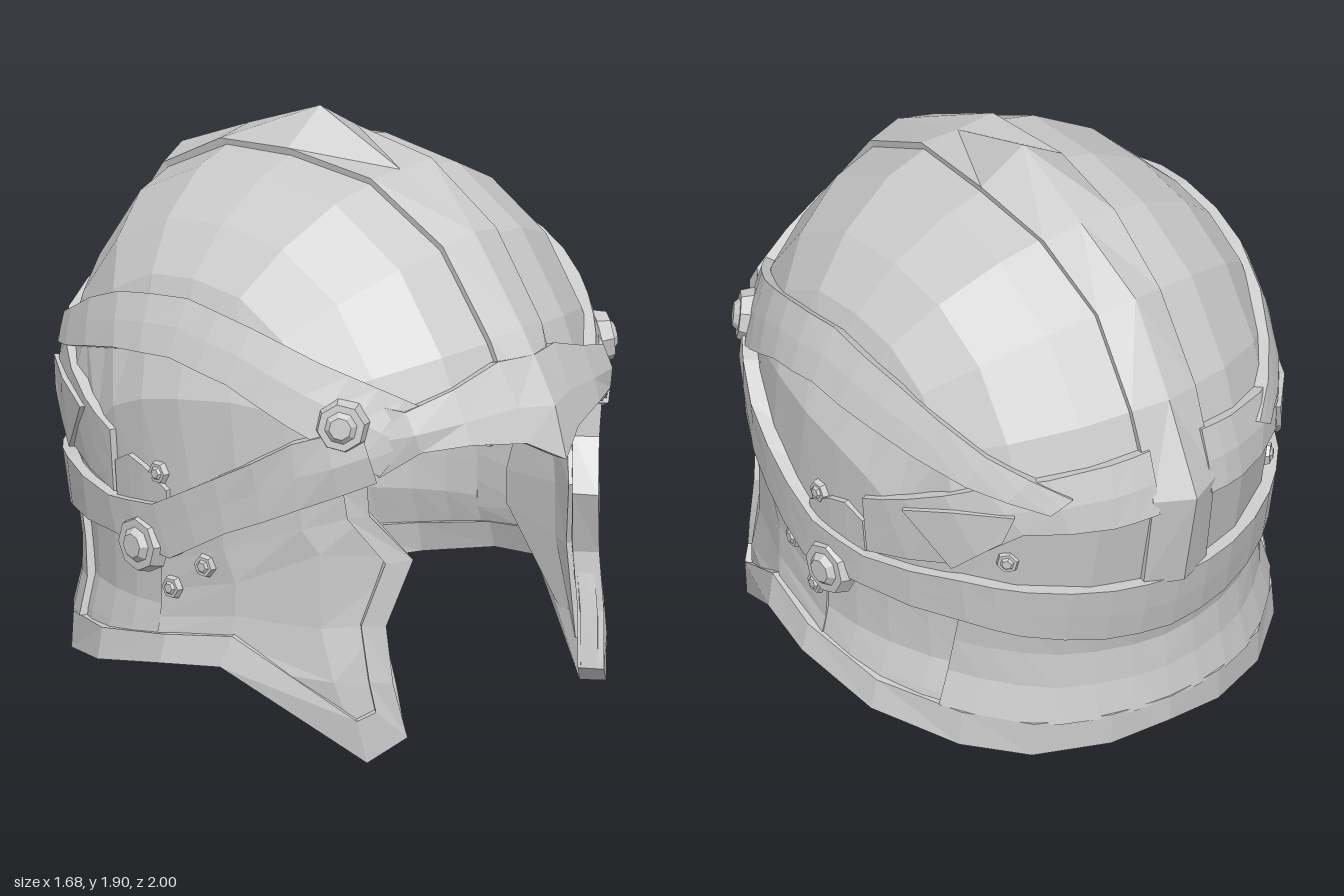
import * as THREE from 'three';

const V = (x, y, z) => new THREE.Vector3(x, y, z);
const material = new THREE.MeshStandardMaterial({ color: 0xcccccc, flatShading: true, side: THREE.DoubleSide });

// Linear lookup in [key, value] pairs
function lookup(table, k) {
  let i = 0;
  while (i < table.length - 2 && k > table[i + 1][0]) i++;
  const [k0, v0] = table[i], [k1, v1] = table[i + 1];
  return v0 + (v1 - v0) * THREE.MathUtils.clamp((k - k0) / (k1 - k0), 0, 1);
}

// Helmet skin: bowl radius by side-view angle, and width / front / back by height below it
const BOWL = [[0, 0.87], [23, 0.83], [46, 0.82], [94, 0.785], [136, 0.86], [158, 0.87], [180, 0.92]];
const WIDTH = [[0, 0.8], [0.2, 0.805], [0.4, 0.75], [0.6, 0.75], [0.8, 0.765], [1, 0.78]];
const FRONT = [[0, 0.85], [0.7, 0.85], [0.9, 0.83], [1, 0.87]];
const BACK = [[0, 0.82], [0.2, 0.83], [0.4, 0.79], [0.6, 0.84], [0.8, 0.88], [1, 0.92]];

function skin(y, z) {
  if (y < 1) return { w: lookup(WIDTH, y), d: lookup(z > 0 ? FRONT : BACK, y), rho: Math.abs(z) };
  const phi = Math.atan2(y - 1, z);
  return { w: lookup(WIDTH, 1), d: lookup(BOWL, phi * 180 / Math.PI), rho: Math.hypot(y - 1, z) };
}
const axis = (p) => V(0, Math.min(p.y, 1), 0);
const push = (p, off) => p.clone().addScaledVector(p.clone().sub(axis(p)).normalize(), off);

// Moves a point radially onto the skin
function drape(p) {
  const { w, d, rho } = skin(p.y, p.z);
  const c = axis(p);
  return p.clone().sub(c).divideScalar(Math.hypot(p.x / w, rho / d)).add(c);
}
// Skin point from side-view z and y
function side(z, y) {
  const { w, d, rho } = skin(y, z);
  return drape(V(w * Math.sqrt(Math.max(0, 1 - (rho / d) ** 2)), y, z));
}
const sides = (list) => list.map(([z, y]) => side(z, y));
const pts = (list) => list.map((a) => V(...a));

// Thick plate from rows of control points
function plate(rows, outer, inner, { sub = 1, onSkin = true } = {}) {
  const R = (rows.length - 1) * sub, C = (rows[0].length - 1) * sub, top = [], low = [];
  for (let i = 0; i <= R; i++) for (let j = 0; j <= C; j++) {
    const r = Math.min(Math.floor(i / sub), rows.length - 2), c = Math.min(Math.floor(j / sub), rows[0].length - 2);
    const u = i / sub - r, v = j / sub - c;
    let p = rows[r][c].clone().lerp(rows[r][c + 1], v).lerp(rows[r + 1][c].clone().lerp(rows[r + 1][c + 1], v), u);
    if (onSkin) p = drape(p);
    top.push(push(p, outer));
    low.push(push(p, inner));
  }
  const tris = [], id = (i, j) => i * (C + 1) + j;
  const quad = (a, b, c, d) => tris.push(a, b, c, a, c, d);
  for (let i = 0; i < R; i++) for (let j = 0; j < C; j++) {
    const [a, b, c, d] = [id(i, j), id(i + 1, j), id(i + 1, j + 1), id(i, j + 1)];
    quad(top[a], top[b], top[c], top[d]);
    quad(low[d], low[c], low[b], low[a]);
  }
  const wall = (a, b) => quad(top[b], top[a], low[a], low[b]);
  for (let j = 0; j < C; j++) { wall(id(0, j + 1), id(0, j)); wall(id(R, j), id(R, j + 1)); }
  for (let i = 0; i < R; i++) { wall(id(i, 0), id(i + 1, 0)); wall(id(i + 1, C), id(i, C)); }
  // Turn the whole shell outward by its signed volume
  let vol = 0;
  for (let t = 0; t < tris.length; t += 3) vol += tris[t].dot(tris[t + 1].clone().cross(tris[t + 2]));
  return toGeometry(tris, vol < 0);
}
function toGeometry(tris, flip) {
  const out = [];
  for (let t = 0; t < tris.length; t += 3) out.push(tris[t], tris[t + (flip ? 2 : 1)], tris[t + (flip ? 1 : 2)]);
  const g = new THREE.BufferGeometry().setFromPoints(out);
  g.computeVertexNormals();
  return g;
}
function mirror(g) {
  const a = (g.index ? g.toNonIndexed() : g).attributes.position, tris = [];
  for (let i = 0; i < a.count; i++) tris.push(V(-a.getX(i), a.getY(i), a.getZ(i)));
  return toGeometry(tris, true);
}

export function createModel() {
  const group = new THREE.Group();
  const add = (name, geo) => {
    const m = new THREE.Mesh(geo, material);
    m.name = name;
    group.add(m);
  };
  const pair = (name, geo) => { add(name + 'Left', geo); add(name + 'Right', mirror(geo)); };

  // Faceted bowl halves: fanned rows from the crest down to the lower strap
  const angles = [8, 23, 46, 70, 94, 115, 136, 158, 180];
  const bowl = [0.08, 0.28, 0.48, 0.62].map((x) => {
    const depth = ({ w, d }) => d * Math.sqrt(1 - (x / w) ** 2);
    const row = angles.map((deg) => {
      const t = deg * Math.PI / 180, r = depth(skin(1 + Math.sin(t), Math.cos(t)));
      return V(x, 1 + r * Math.sin(t), r * Math.cos(t));
    });
    return [...row, V(x, 0.66, -depth(skin(0.66, -1)))];
  });
  const hem = sides([[0.69, 1.05], [0.6, 1], [0.42, 0.91], [0.26, 0.83], [0.1, 0.76], [0, 0.72], [-0.1, 0.7], [-0.2, 0.69], [-0.28, 0.68], [-0.36, 0.66]]);
  bowl.push(bowl[3].map((p, i) => drape(p.clone().lerp(hem[i], 0.5))), hem);
  pair('bowl', plate(bowl, 0.012, -0.05));

  // Peaked crest over the middle: z, y, half width
  const crest = [[0.95, 1.13, 0.11], [0.81, 1.355, 0.125], [0.6, 1.63, 0.13], [0.28, 1.765, 0.14], [-0.07, 1.9, 0.18],
    [-0.38, 1.77, 0.145], [-0.67, 1.64, 0.13], [-0.85, 1.35, 0.13], [-1, 1.05, 0.13], [-0.93, 0.7, 0.13]];
  pair('crest', plate([
    crest.map(([z, y]) => V(0, y, z)),
    crest.map(([z, y, w]) => push(drape(V(w, y, z)), 0.03)),
  ], 0, -0.07, { onSkin: false }));

  // Pointed brow
  pair('brow', plate([
    pts([[0, 1.28, 0.86], [0.13, 1.28, 0.825], [0.3, 1.22, 0.79], [0.46, 1.17, 0.73], [0.56, 1.2, 0.58]]),
    pts([[0, 1.13, 0.95], [0.12, 1.14, 0.9], [0.3, 1.12, 0.84], [0.46, 1.1, 0.77], [0.56, 1.06, 0.62]]),
    pts([[0, 0.96, 1], [0.12, 1.03, 0.94], [0.3, 1.05, 0.865], [0.44, 1.04, 0.78], [0.52, 0.95, 0.67]]),
  ], 0, -0.07, { onSkin: false }));

  // Arched strap above the ears
  pair('archedStrap', plate([
    sides([[0.73, 1.16], [0.62, 1.23], [0.47, 1.3], [0.25, 1.38], [0, 1.42], [-0.3, 1.37], [-0.6, 1.22], [-0.8, 1.1]]),
    sides([[0.65, 0.96], [0.55, 1.04], [0.42, 1.11], [0.22, 1.21], [0, 1.25], [-0.25, 1.22], [-0.57, 1.12], [-0.77, 1.05]]),
  ], 0.04, -0.01, { sub: 2 }));

  // Slanted plate running from the crest to behind the ears, with a lower tab
  pair('rearPlate', plate([
    [V(0.1, 1.21, -0.87), ...sides([[-0.83, 1.19], [-0.62, 1.12], [-0.4, 1.02], [-0.25, 0.96]])],
    [V(0.1, 1, -0.92), ...sides([[-0.87, 0.98], [-0.72, 0.97], [-0.53, 0.81], [-0.25, 0.75]])],
  ], 0.03, -0.02, { sub: 2 }));
  pair('rearTab', plate([
    sides([[-0.7, 1.04], [-0.55, 1.03], [-0.4, 0.99]]), sides([[-0.67, 0.94], [-0.6, 0.87], [-0.53, 0.8]]),
  ], 0.045, 0));
  pair('earPlate', plate([
    sides([[0, 0.82], [-0.1, 0.88], [-0.17, 0.9], [-0.24, 0.86]]),
    sides([[0, 0.72], [-0.1, 0.72], [-0.17, 0.72], [-0.24, 0.72]]),
  ], 0.025, -0.02));

  // Lower strap from the brow rivet around the nape
  pair('lowerStrap', plate([
    [...sides([[0.6, 1.12], [0.44, 1.06], [0.2, 0.91], [-0.04, 0.77], [-0.25, 0.74], [-0.55, 0.76]]), ...pts([[0.45, 0.74, -0.7], [0.22, 0.72, -0.83], [0, 0.71, -0.86]])],
    [...sides([[0.64, 0.94], [0.45, 0.84], [0.23, 0.73], [0.02, 0.6], [-0.22, 0.62], [-0.55, 0.59]]), ...pts([[0.45, 0.55, -0.67], [0.22, 0.51, -0.78], [0, 0.49, -0.81]])],
  ], 0.05, -0.06, { sub: 2 }));

  // Cheek guards
  pair('cheekGuard', plate([
    sides([[0.62, 0.94], [0.45, 0.85], [0.2, 0.72], [-0.05, 0.63]]),
    sides([[0.62, 0.82], [0.45, 0.76], [0.2, 0.66], [-0.05, 0.56]]),
    sides([[0.71, 0.67], [0.5, 0.68], [0.24, 0.55], [-0.05, 0.47]]),
    sides([[0.65, 0.45], [0.5, 0.43], [0.24, 0.44], [-0.05, 0.38]]),
    sides([[0.69, 0.25], [0.55, 0.26], [0.22, 0.36], [-0.05, 0.33]]),
    sides([[0.71, 0.08], [0.62, 0.02], [0.22, 0.28], [-0.05, 0.24]]),
  ], 0.01, -0.045));
  // Padded lining inside the cheeks
  pair('cheekLining', plate([
    sides([[0.57, 0.86], [0.4, 0.76], [0.15, 0.64]]),
    sides([[0.65, 0.67], [0.45, 0.6], [0.12, 0.55]]),
    sides([[0.59, 0.45], [0.45, 0.42], [0.12, 0.44]]),
    sides([[0.63, 0.14], [0.56, 0.12], [0.2, 0.36]]),
  ], -0.03, -0.07));

  // Neck skirt, with a raised plate at the back
  pair('neckSkirt', plate([
    [...sides([[-0.05, 0.64], [-0.3, 0.63], [-0.55, 0.61]]), ...pts([[0.45, 0.57, -0.65], [0.22, 0.56, -0.78], [0, 0.55, -0.82]])],
    [...sides([[-0.05, 0.42], [-0.3, 0.4], [-0.55, 0.38]]), ...pts([[0.45, 0.35, -0.63], [0.22, 0.34, -0.75], [0, 0.33, -0.79]])],
    [...sides([[-0.05, 0.24], [-0.3, 0.2], [-0.55, 0.15]]), ...pts([[0.45, 0.13, -0.67], [0.22, 0.13, -0.78], [0, 0.14, -0.82]])],
  ], 0.005, -0.045, { sub: 2 }));
  pair('napePlate', plate([
    [...sides([[-0.53, 0.61]]), ...pts([[0.35, 0.57, -0.72], [0, 0.54, -0.82]])],
    [...sides([[-0.49, 0.25]]), ...pts([[0.35, 0.2, -0.72], [0, 0.2, -0.82]])],
  ], 0.025, -0.02, { sub: 3 }));

  // Raised rim along the cheek front, cheek point and neck edge
  pair('edgeRim', plate([
    [...sides([[0.56, 0.9], [0.57, 0.81], [0.655, 0.66], [0.6, 0.45], [0.63, 0.27], [0.65, 0.17], [0.61, 0.14], [0.24, 0.38], [0, 0.34], [-0.3, 0.28], [-0.55, 0.24]]),
      ...pts([[0.42, 0.21, -0.69], [0.2, 0.21, -0.79], [0, 0.21, -0.83]])],
    [...sides([[0.62, 0.94], [0.62, 0.82], [0.71, 0.67], [0.655, 0.45], [0.68, 0.26], [0.71, 0.08], [0.63, 0], [0.22, 0.28], [0, 0.25], [-0.3, 0.18], [-0.55, 0.12]]),
      ...pts([[0.42, 0.09, -0.68], [0.2, 0.1, -0.78], [0, 0.12, -0.82]])],
  ], 0.03, -0.055));

  // Rivets: z, y, radius, lift
  const stud = (p, dir, r) => {
    const q = new THREE.Quaternion().setFromUnitVectors(V(0, 1, 0), dir);
    return [[r * 0.85, r, r * 0.5, 0], [r * 0.4, r * 0.68, r * 0.3, r * 0.3]].map(([a, b, h, lift]) =>
      new THREE.CylinderGeometry(a, b, h, r > 0.05 ? 8 : 6).translate(0, lift, 0).applyQuaternion(q).translate(p.x, p.y, p.z));
  };
  for (const [z, y, r, lift] of [[0.56, 1.12, 0.09, 0.045], [-0.1, 0.62, 0.1, 0.045], [-0.04, 0.87, 0.04, 0.015],
    [-0.67, 0.84, 0.04, 0.015], [0.13, 0.59, 0.04, 0.015], [0, 0.49, 0.04, 0.015]]) {
    const p = push(side(z, y), lift), dir = p.clone().sub(axis(p));
    dir.x *= 1.4;
    stud(p, dir.normalize(), r).forEach((g) => pair('rivet', g));
  }
  stud(V(-0.05, 0.6, -0.765), V(0, 0, 1), 0.045).forEach((g) => add('innerRivet', g));

  return group;
}
